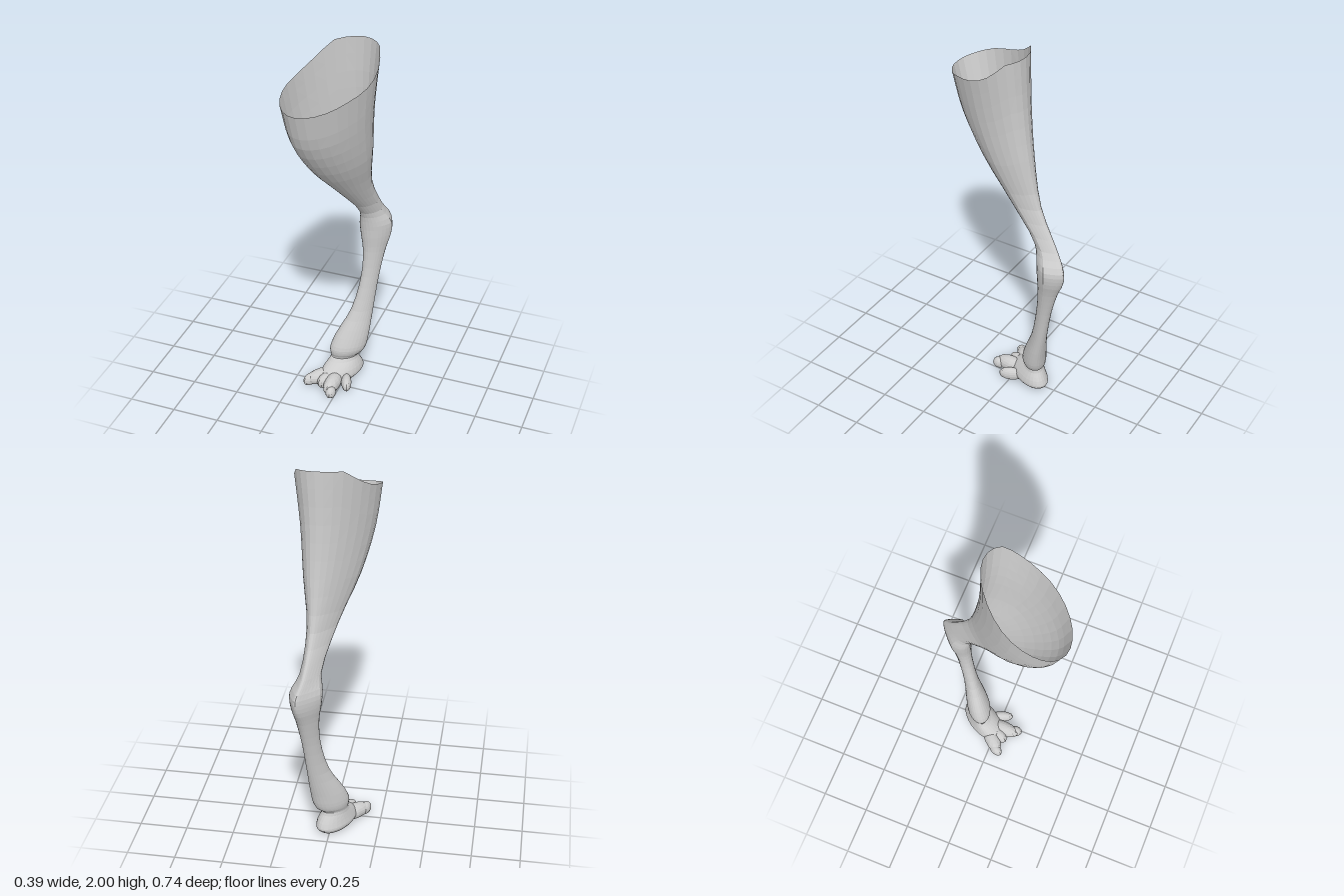
import * as THREE from 'three';

const SIDES = 28;
const material = new THREE.MeshStandardMaterial({ color: 0xcccccc, flatShading: true, side: THREE.DoubleSide });

// Leg cross-sections from sole to hip: [y, xMin, xMax, zBack, zFront, skew, rear pinch]
const SECTIONS = [
  [0.012, -0.11, 0.055, -0.195, 0.03, -0.5, 0],
  [0.035, -0.125, 0.072, -0.213, 0.045, -0.5, 0],
  [0.07, -0.115, 0.066, -0.2, 0.02, -0.5, 0],
  [0.125, -0.086, 0.045, -0.17, -0.06, -0.4, 0],
  [0.15, -0.09, 0.07, -0.19, -0.052, -0.4, 0],
  [0.18, -0.092, 0.086, -0.2, -0.05, -0.4, 0],
  [0.25, -0.07, 0.097, -0.21, -0.075, -0.4, 0],
  [0.4, 0, 0.108, -0.235, -0.14, -0.4, 0],
  [0.6, 0.038, 0.128, -0.275, -0.185, -0.3, 0.1],
  [0.75, 0.038, 0.155, -0.32, -0.197, -0.3, 0.3],
  [0.84, 0.025, 0.18, -0.358, -0.192, -0.35, 0.5],
  [0.91, 0.02, 0.185, -0.365, -0.186, -0.4, 0.6],
  [1.0, 0.03, 0.138, -0.312, -0.165, -0.4, 0.5],
  [1.2, -0.03, 0.125, -0.2, 0.01, -0.42, 0.4],
  [1.4, -0.12, 0.155, -0.145, 0.185, -0.42, 0.2],
  [1.6, -0.175, 0.172, -0.117, 0.31, -0.42, 0.1],
  [1.8, -0.2, 0.193, -0.11, 0.37, -0.42, 0],
];

// Height of the open rim, from front to back
const RIM = [[0.37, 1.775], [0.24, 1.825], [0.1, 1.865], [0, 1.925], [-0.05, 1.985], [-0.11, 2]];
function rimHeight(z) {
  for (let i = 1; i < RIM.length; i++) {
    const [z0, y0] = RIM[i - 1], [z1, y1] = RIM[i];
    if (z >= z1) return THREE.MathUtils.lerp(y0, y1, THREE.MathUtils.clamp((z - z0) / (z1 - z0), 0, 1));
  }
  return 2;
}

// Point on a skewed oval section
function sectionPoint([y, x0, x1, z0, z1, skew, pinch], s) {
  const u = Math.sin(s);
  const v = Math.cos(s) * (1 - pinch * Math.max(0, -u));
  const x = (x0 + x1) / 2 + (x1 - x0) / 2 * (Math.sin(skew) * u + Math.cos(skew) * v);
  return new THREE.Vector3(x, y, (z0 + z1) / 2 + (z1 - z0) / 2 * u);
}

// Lofted shell, open at the hip and closed under the sole
function legGeometry() {
  const rows = (SECTIONS.length - 1) * 3;
  const positions = [], index = [];
  for (let j = 0; j < SIDES; j++) {
    const s = (j / SIDES) * Math.PI * 2;
    const points = SECTIONS.map((sec) => sectionPoint(sec, s));
    // Stretch the thigh upward so it ends on the slanted rim
    const stretch = (rimHeight(points[points.length - 1].z) - 1.2) / 0.6;
    for (const p of points) if (p.y > 1.2) p.y = 1.2 + (p.y - 1.2) * stretch;
    const curve = new THREE.CatmullRomCurve3(points);
    for (let i = 0; i <= rows; i++) positions.push(...curve.getPoint(i / rows).toArray());
  }
  const sole = positions.length / 3;
  positions.push(-0.03, 0.012, -0.08);
  for (let j = 0; j < SIDES; j++) {
    const a = j * (rows + 1), c = ((j + 1) % SIDES) * (rows + 1);
    for (let i = 0; i < rows; i++) index.push(a + i, a + i + 1, c + i, c + i, a + i + 1, c + i + 1);
    index.push(a, c, sole);
  }
  const geometry = new THREE.BufferGeometry();
  geometry.setAttribute('position', new THREE.Float32BufferAttribute(positions, 3));
  geometry.setIndex(index);
  geometry.computeVertexNormals();
  return geometry;
}

// Rounded toe with a flattened underside, running from base to tip
function toe(name, [bx, bz], [tx, tz], width, height) {
  const geometry = new THREE.SphereGeometry(1, 12, 10);
  const length = Math.hypot(tx - bx, tz - bz);
  geometry.scale(width, height, length / 2);
  const p = geometry.attributes.position;
  for (let i = 0; i < p.count; i++) p.setY(i, Math.max(p.getY(i), -height * 0.75));
  geometry.computeVertexNormals();
  const mesh = new THREE.Mesh(geometry, material);
  mesh.name = name;
  mesh.position.set((bx + tx) / 2, height * 0.75, (bz + tz) / 2);
  mesh.rotation.y = Math.atan2(tx - bx, tz - bz);
  return mesh;
}

export function createModel() {
  const group = new THREE.Group();
  group.name = 'hindLeg';

  const leg = new THREE.Mesh(legGeometry(), material);
  leg.name = 'legShell';
  group.add(leg);

  // Two long toes, each with a knuckled tip, and two short side toes
  const foot = new THREE.Group();
  foot.name = 'toes';
  foot.add(
    toe('outerToe', [-0.04, -0.07], [-0.175, 0.06], 0.042, 0.043),
    toe('outerToeTip', [-0.14, 0.0], [-0.18, 0.078], 0.027, 0.035),
    toe('frontToe', [-0.03, -0.06], [-0.035, 0.125], 0.042, 0.045),
    toe('frontToeTip', [-0.02, 0.07], [-0.015, 0.14], 0.027, 0.033),
    toe('middleToe', [-0.05, -0.03], [-0.1, 0.075], 0.035, 0.042),
    toe('innerToe', [0.01, -0.06], [0.055, 0.06], 0.028, 0.038),
  );
  group.add(foot);
  return group;
}
